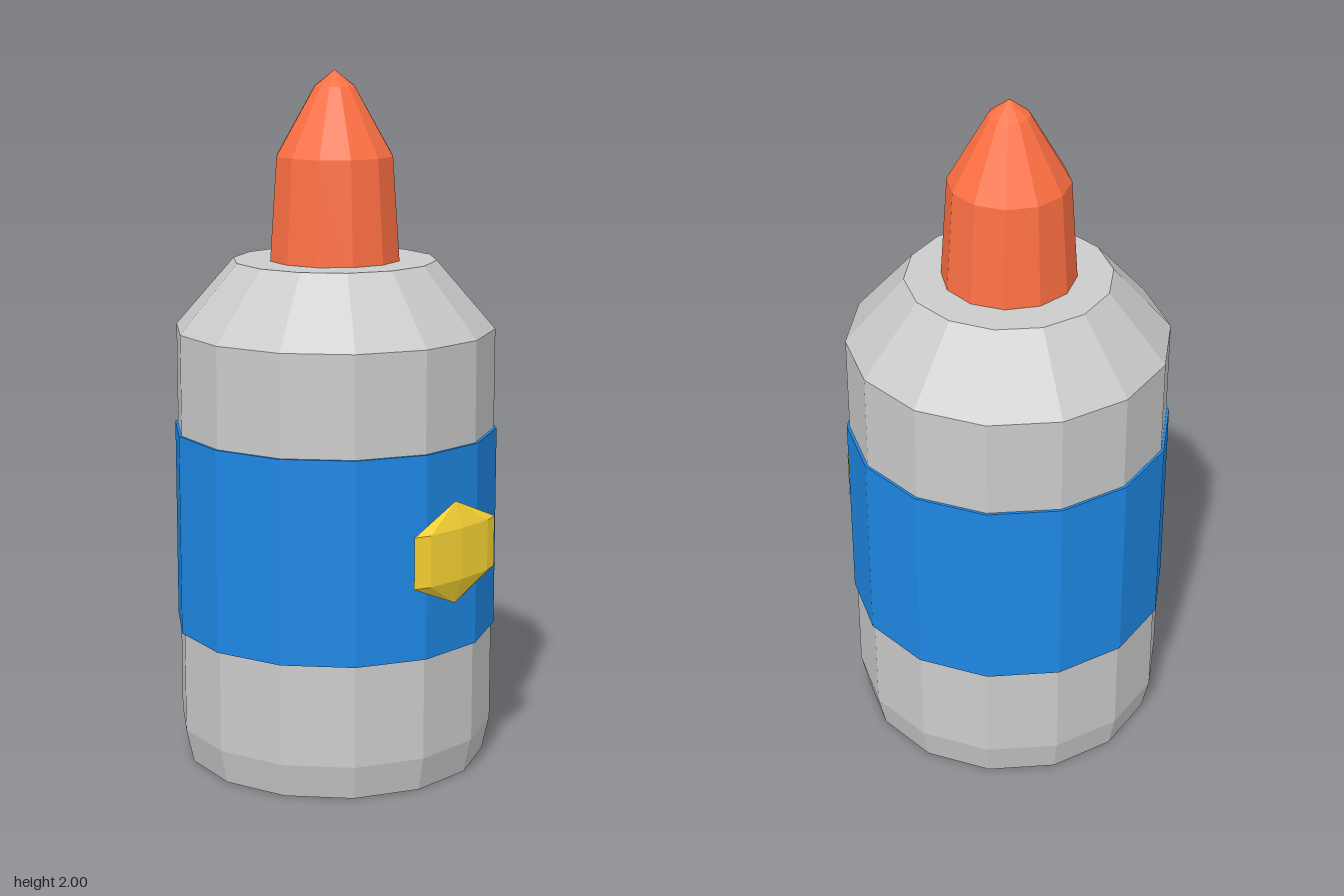
import * as THREE from 'three';

const AXIS_Z = -0.018;

function material(color) {
  return new THREE.MeshStandardMaterial({ color, flatShading: true });
}

// Faceted turned part with a corner on the x axis
function turned(name, profile, sides, color) {
  const points = profile.map(([r, y]) => new THREE.Vector2(r, y));
  const mesh = new THREE.Mesh(new THREE.LatheGeometry(points, sides, Math.PI / 2), material(color));
  mesh.name = name;
  mesh.position.z = AXIS_Z;
  return mesh;
}

export function createModel() {
  const group = new THREE.Group();
  group.name = 'glueBottle';

  // Bottle with chamfered base and sloped shoulder
  group.add(turned('bottleBody', [
    [0, 0], [0.44, 0], [0.462, 0.1], [0.462, 1.27], [0.293, 1.465], [0, 1.465],
  ], 14, 0xcccccc));

  // Label band wrapped around the bottle
  group.add(turned('labelBand', [
    [0.455, 0.395], [0.47, 0.395], [0.47, 0.98], [0.455, 0.98],
  ], 14, 0x1e88e5));

  // Tapered nozzle with pointed tip
  group.add(turned('nozzle', [
    [0, 1.46], [0.19, 1.465], [0.17, 1.76], [0.058, 1.955], [0, 2],
  ], 12, 0xff7043));

  // Flattened faceted badge on the front of the label
  const badge = new THREE.Mesh(new THREE.SphereGeometry(1, 8, 3), material(0xfdd835));
  badge.name = 'frontBadge';
  badge.scale.set(0.194, 0.147, 0.028);
  badge.position.set(0, 0.687, 0.452);
  group.add(badge);

  return group;
}
